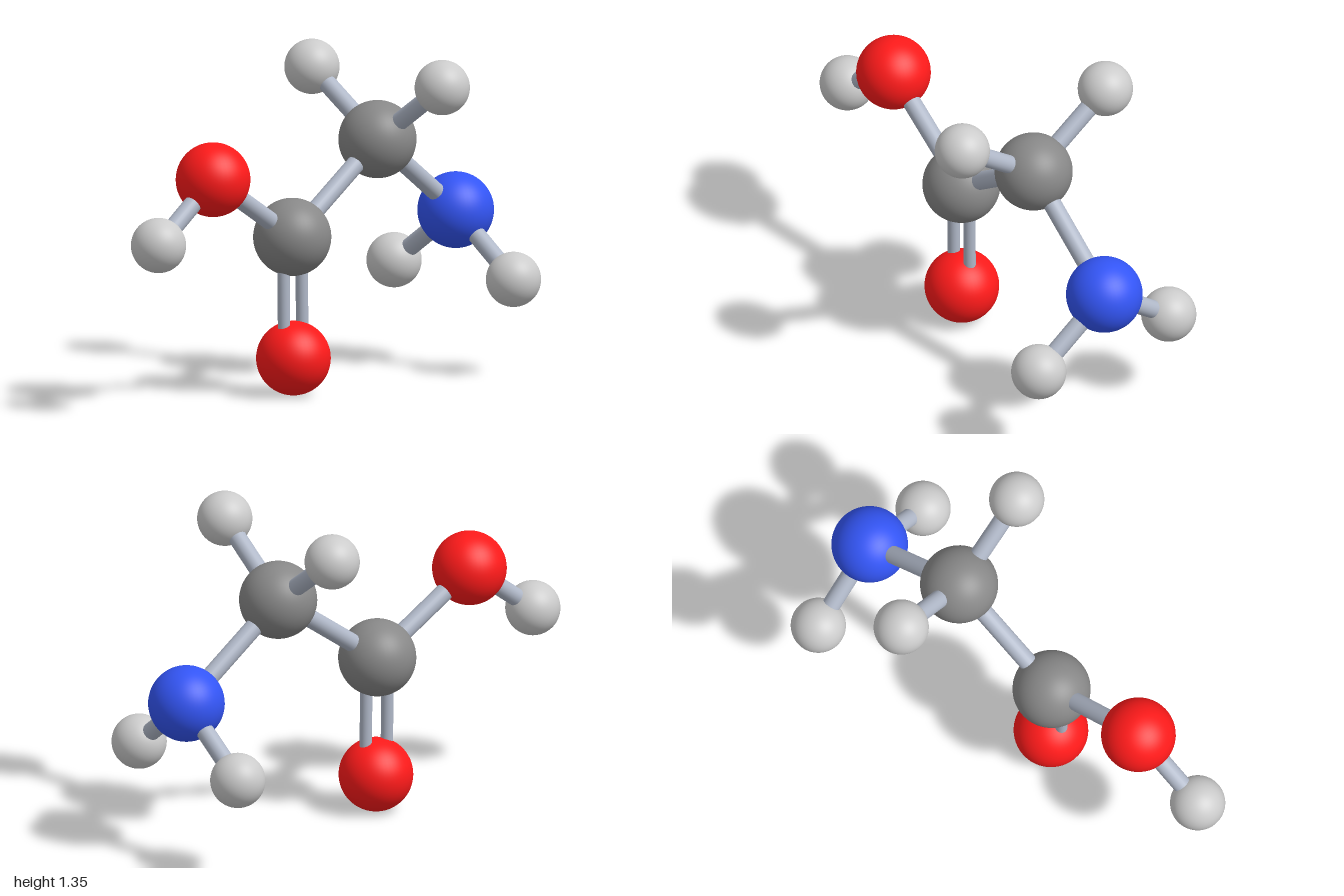
import * as THREE from 'three';

const mat = (color) => new THREE.MeshStandardMaterial({ color });

export function createModel() {
  const model = new THREE.Group();
  const materials = {
    carbon: mat(0x888888), oxygen: mat(0xff1a1a), nitrogen: mat(0x3355f5),
    hydrogen: mat(0xcccccc), bond: mat(0xb0b8c8),
  };
  const radii = { carbon: 0.157, oxygen: 0.15, nitrogen: 0.154, hydrogen: 0.111 };

  // Atoms: element and centre
  const atoms = {
    acidCarbon: ['carbon', -0.115, 0.645, -0.005],
    middleCarbon: ['carbon', 0.377, 0.984, 0],
    hydroxylOxygen: ['oxygen', -0.575, 0.933, -0.007],
    doubleBondOxygen: ['oxygen', -0.11, 0.152, -0.003],
    amineNitrogen: ['nitrogen', 0.842, 0.64, -0.008],
    hydroxylHydrogen: ['hydrogen', -0.89, 0.703, -0.01],
    upperFrontHydrogen: ['hydrogen', 0.378, 1.234, 0.357],
    upperBackHydrogen: ['hydrogen', 0.375, 1.239, -0.36],
    amineFrontHydrogen: ['hydrogen', 0.837, 0.394, 0.316],
    amineBackHydrogen: ['hydrogen', 0.831, 0.4, -0.338],
  };
  const centre = {};
  for (const [name, [element, x, y, z]] of Object.entries(atoms)) {
    const ball = new THREE.Mesh(new THREE.SphereGeometry(radii[element], 48, 32), materials[element]);
    ball.name = name;
    ball.position.set(x, y, z);
    centre[name] = ball.position;
    model.add(ball);
  }

  // Rod joining two atom centres, optionally shifted sideways
  function addBond(a, b, radius = 0.037, shift = 0) {
    const dir = centre[b].clone().sub(centre[a]);
    const rod = new THREE.Mesh(
      new THREE.CylinderGeometry(radius, radius, dir.length(), 24), materials.bond);
    rod.name = 'bond';
    rod.position.copy(centre[a]).add(centre[b]).multiplyScalar(0.5);
    rod.position.x += shift;
    rod.quaternion.setFromUnitVectors(new THREE.Vector3(0, 1, 0), dir.normalize());
    model.add(rod);
  }

  // Single bonds
  [
    ['acidCarbon', 'middleCarbon'], ['acidCarbon', 'hydroxylOxygen'],
    ['hydroxylOxygen', 'hydroxylHydrogen'], ['middleCarbon', 'amineNitrogen'],
    ['middleCarbon', 'upperFrontHydrogen'], ['middleCarbon', 'upperBackHydrogen'],
    ['amineNitrogen', 'amineFrontHydrogen'], ['amineNitrogen', 'amineBackHydrogen'],
  ].forEach(([a, b]) => addBond(a, b));

  // Double bond: two thinner parallel rods
  for (const s of [-1, 1]) addBond('acidCarbon', 'doubleBondOxygen', 0.025, s * 0.053);

  return model;
}
